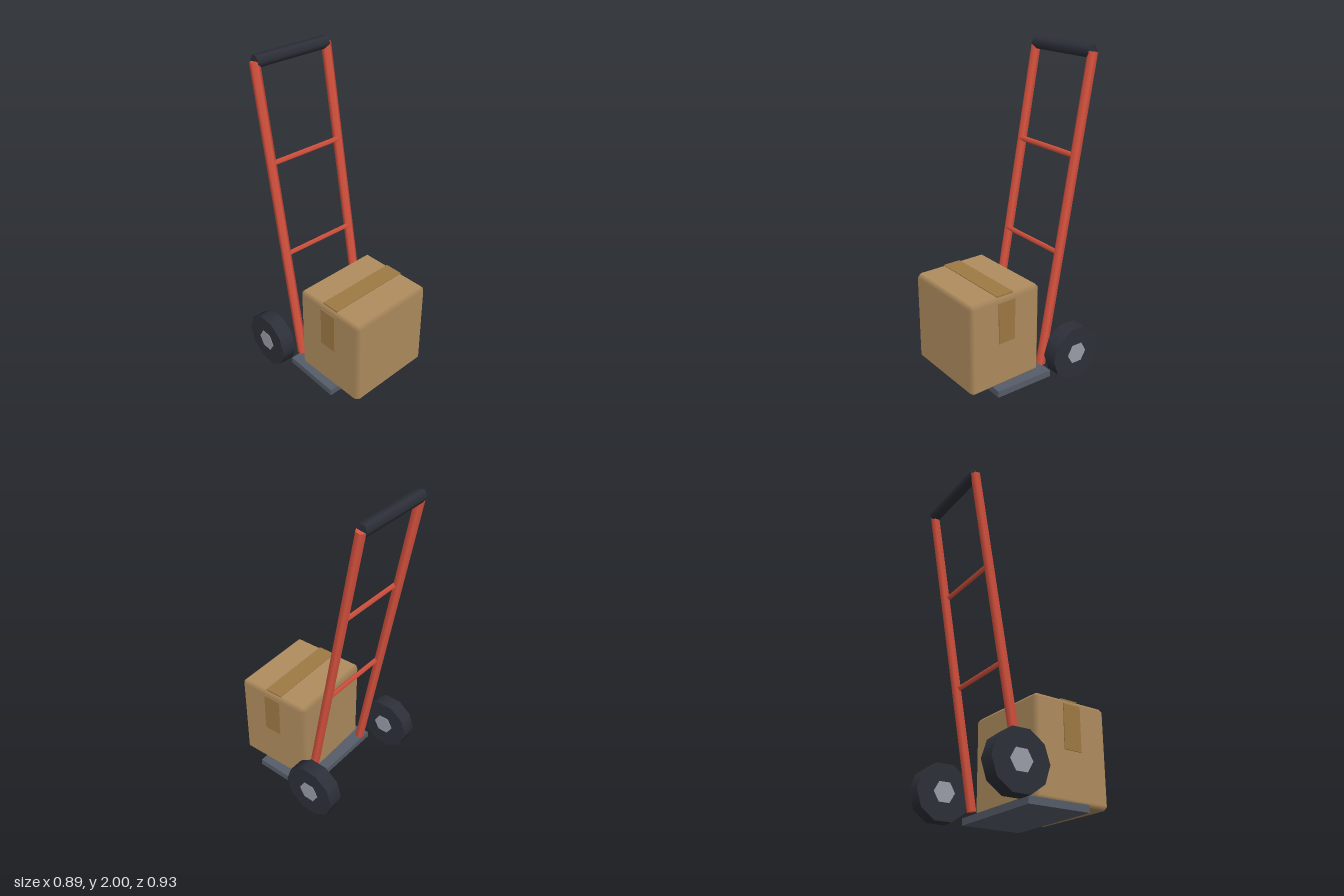
import * as THREE from 'three';
import { ConvexGeometry } from 'three/addons/geometries/ConvexGeometry.js';

const material = (color) => new THREE.MeshStandardMaterial({ color });

// Box with a single chamfer; face normals are kept at the corners so only the chamfers blend
function bevelledBox(w, h, d, c) {
  const half = [w / 2, h / 2, d / 2];
  const points = [];
  for (let axis = 0; axis < 3; axis++)
    for (const sx of [-1, 1]) for (const sy of [-1, 1]) for (const sz of [-1, 1]) {
      const p = [sx, sy, sz].map((s, i) => s * (half[i] - (i === axis ? 0 : c)));
      points.push(new THREE.Vector3(...p));
    }
  const geometry = new ConvexGeometry(points);
  const { position, normal } = geometry.attributes;
  for (let i = 0; i < position.count; i++) {
    const p = [position.getX(i), position.getY(i), position.getZ(i)];
    normal.setXYZ(i, ...p.map((v, k) => (Math.abs(Math.abs(v) - half[k]) < 1e-4 ? Math.sign(v) : 0)));
  }
  return geometry;
}

export function createModel() {
  const model = new THREE.Group();
  model.name = 'handTruck';

  const red = material(0xd9533f);
  const rubber = material(0x2d3039);
  const steel = material(0x565d69);
  const hubGrey = material(0x9a9ea8);
  const cardboard = material(0xb08d5f);
  const tapeBrown = material(0x9f7a45);

  const add = (parent, name, geometry, mat, x, y, z) => {
    const mesh = new THREE.Mesh(geometry, mat);
    mesh.name = name;
    mesh.position.set(x, y, z);
    parent.add(mesh);
    return mesh;
  };
  // Cylinder lying along x, with one corner facing forward
  const crossCylinder = (name, radius, length, sides, mat, x, y, z) => {
    const geometry = new THREE.CylinderGeometry(radius, radius, length, sides);
    return add(model, name, geometry.rotateZ(Math.PI / 2), mat, x, y, z);
  };

  // Leaning rails
  const bottom = new THREE.Vector2(-0.098, 0.065);
  const top = new THREE.Vector2(-0.429, 1.966);
  const lean = Math.atan2(top.x - bottom.x, top.y - bottom.y);
  const railLength = top.distanceTo(bottom);
  const middle = top.clone().add(bottom).multiplyScalar(0.5);
  for (const side of [-1, 1]) {
    const name = side > 0 ? 'leftRail' : 'rightRail';
    const geometry = new THREE.CylinderGeometry(0.031, 0.031, railLength, 6);
    add(model, name, geometry, red, side * 0.257, middle.y, middle.x).rotation.x = lean;
  }

  // Grip and crossbars
  crossCylinder('handleGrip', 0.039, 0.514, 6, rubber, 0, 1.966, -0.429);
  crossCylinder('upperCrossbar', 0.0185, 0.514, 4, red, 0, 1.381, -0.312);
  crossCylinder('lowerCrossbar', 0.0185, 0.514, 4, red, 0, 0.791, -0.213);

  // Wheels with hubs showing on both faces
  for (const side of [-1, 1]) {
    const name = side > 0 ? 'left' : 'right';
    crossCylinder(name + 'Wheel', 0.176, 0.097, 10, rubber, side * 0.393, 0.181, -0.231);
    crossCylinder(name + 'Hub', 0.069, 0.104, 6, hubGrey, side * 0.393, 0.181, -0.231);
  }

  // Toe plate
  add(model, 'toePlate', new THREE.BoxGeometry(0.667, 0.042, 0.394), steel, 0, 0.021, 0.082);

  // Carton, set slightly askew on the plate
  const carton = new THREE.Group();
  carton.name = 'carton';
  carton.position.set(0, 0.339, 0.201);
  carton.rotation.y = 0.037;
  model.add(carton);
  add(carton, 'cartonBody', bevelledBox(0.588, 0.594, 0.51, 0.025), cardboard, 0, 0, 0);

  // Packing tape over the top and down both sides
  add(carton, 'topTape', new THREE.BoxGeometry(0.55, 0.01, 0.118), tapeBrown, 0, 0.297, 0);
  for (const side of [-1, 1]) {
    const name = side > 0 ? 'leftTape' : 'rightTape';
    add(carton, name, new THREE.BoxGeometry(0.01, 0.266, 0.118), tapeBrown, side * 0.294, 0.132, 0);
  }

  return model;
}
